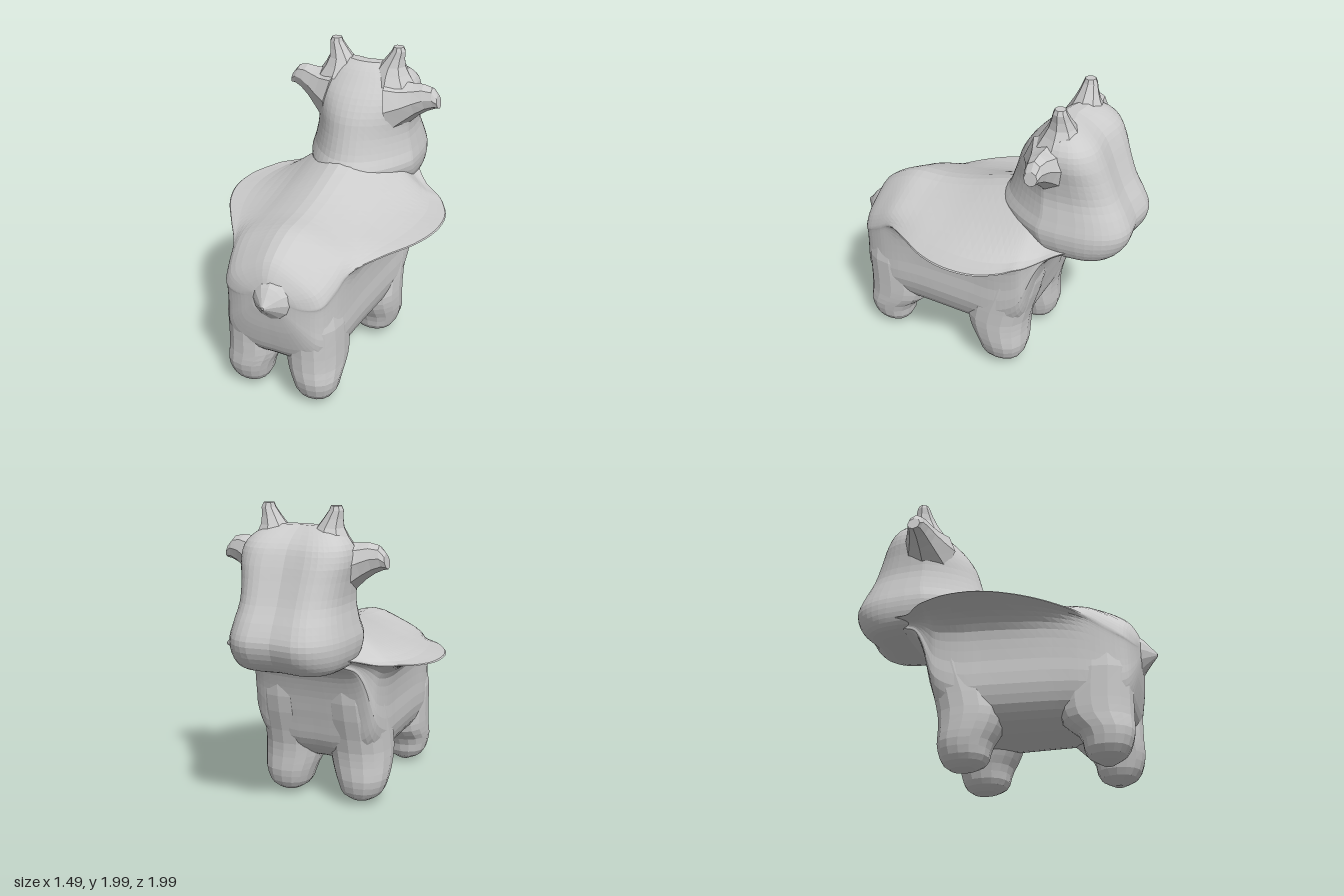
import * as THREE from 'three';

const material = new THREE.MeshStandardMaterial({ color: 0xcccccc, flatShading: true });
const V = (x, y, z) => new THREE.Vector3(x, y, z);

// Skin through closed rings of points, smoothed around and along, with closed ends.
function loft(name, rings, around, along) {
  const cols = [];
  const fine = rings.map((r) => {
    const c = new THREE.CatmullRomCurve3(r, true);
    return Array.from({ length: around }, (_, i) => c.getPoint(i / around));
  });
  for (let i = 0; i < around; i++) {
    cols.push(new THREE.CatmullRomCurve3(fine.map((r) => r[i])).getPoints(along));
  }
  const pts = [];
  for (let j = 0; j <= along; j++) for (let i = 0; i < around; i++) pts.push(cols[i][j]);
  const centre = (j) => cols.reduce((s, c) => s.add(c[j]), V(0, 0, 0)).divideScalar(around);
  const first = pts.push(centre(0)) - 1;
  const last = pts.push(centre(along)) - 1;
  const tris = [];
  for (let i = 0; i < around; i++) {
    const k = (i + 1) % around;
    for (let j = 0; j < along; j++) {
      const a = j * around + i, b = j * around + k;
      tris.push([a, b, b + around], [a, b + around, a + around]);
    }
    tris.push([first, k, i], [last, along * around + i, along * around + k]);
  }
  // Turn the faces outwards whichever way the rings run.
  const volume = tris.reduce((s, [a, b, c]) => s + pts[a].dot(V(0, 0, 0).crossVectors(pts[b], pts[c])), 0);
  if (volume < 0) tris.forEach((t) => t.reverse());
  const geometry = new THREE.BufferGeometry().setFromPoints(pts);
  geometry.setIndex(tris.flat());
  geometry.computeVertexNormals();
  const mesh = new THREE.Mesh(geometry, material);
  mesh.name = name;
  return mesh;
}

// Rounded ring in a horizontal plane; a higher power makes it squarer.
function flatRing(x, y, z, rx, rz, n = 12, power = 2.3) {
  return Array.from({ length: n }, (_, i) => {
    const t = (i / n) * Math.PI * 2, c = Math.cos(t), s = Math.sin(t);
    const e = 2 / power;
    return V(x + rx * Math.sign(c) * Math.abs(c) ** e, y, z + rz * Math.sign(s) * Math.abs(s) ** e);
  });
}

// Body section: rounded back, thin side flap reaching out to w, flank, rounded belly.
function bodyRing([z, top, h, w, flapY, belly]) {
  const y = (f) => belly + f * (flapY - belly);
  const half = [
    [0.5 * h, top - 0.28 * (top - flapY)],
    [0.9 * h, flapY + 0.36 * (top - flapY)],
    [h + 0.5 * (w - h), flapY + 0.02],
    [w, flapY],
    [h + 0.45 * (w - h), y(0.96)],
    [h + 0.1 * (w - h), y(0.86)],
    [h, y(0.62)],
    [h, y(0.3)],
    [0.84 * h, y(0.09)],
    [0.4 * h, belly],
  ];
  return [
    V(0, top, z),
    ...half.map(([x, v]) => V(x, v, z)),
    V(0, belly, z),
    ...half.reverse().map(([x, v]) => V(-x, v, z)),
  ];
}

// Head section: square towards the face with a slight dent, narrowing to a ridge behind the neck.
function headRing([y, back, face, hw]) {
  const mid = face + 0.57 * (back - face);
  return Array.from({ length: 24 }, (_, i) => {
    const t = (i / 24) * Math.PI * 2, c = Math.cos(t), s = Math.sin(t);
    const x = hw * Math.sign(c) * Math.abs(c) ** (s > 0 ? 1 : 0.7);
    const dent = 0.04 * Math.max(0, 1 - Math.abs(x) / 0.2);
    const z = s > 0 ? mid + (back - mid) * s ** 1.7 : mid + (face + dent - mid) * Math.abs(s) ** 0.6;
    return V(x, y, z);
  });
}

export function createModel() {
  const model = new THREE.Group();
  model.name = 'hornedAnimal';

  // Body with side flaps: z, top, half width, flap reach, flap height, belly
  model.add(loft('bodyWithSideFlaps', [
    [0.905, 0.89, 0.1, 0.1, 0.8, 0.7],
    [0.88, 0.95, 0.22, 0.23, 0.77, 0.52],
    [0.83, 1.02, 0.32, 0.33, 0.78, 0.36],
    [0.72, 1.09, 0.37, 0.375, 0.84, 0.29],
    [0.6, 1.13, 0.39, 0.41, 0.92, 0.27],
    [0.4, 1.14, 0.4, 0.55, 0.97, 0.27],
    [0.2, 1.175, 0.41, 0.68, 0.985, 0.27],
    [0, 1.235, 0.42, 0.745, 0.995, 0.27],
    [-0.2, 1.3, 0.43, 0.735, 1, 0.28],
    [-0.35, 1.35, 0.42, 0.66, 1.01, 0.4],
    [-0.41, 1.36, 0.4, 0.61, 1.02, 0.6],
    [-0.46, 1.34, 0.38, 0.56, 1.02, 0.8],
    [-0.52, 1.3, 0.35, 0.48, 1.03, 0.94],
    [-0.6, 1.24, 0.31, 0.4, 1.06, 0.99],
    [-0.7, 1.16, 0.27, 0.33, 1.09, 1.04],
  ].map(bodyRing), 64, 56));

  // Head and neck: height, back z, face z, half width
  model.add(loft('headAndNeck', [
    [1, -0.45, -0.84, 0.25],
    [1.03, -0.32, -0.92, 0.33],
    [1.1, -0.15, -0.985, 0.37],
    [1.2, -0.07, -1.015, 0.38],
    [1.29, -0.12, -0.985, 0.36],
    [1.42, -0.165, -0.915, 0.335],
    [1.55, -0.205, -0.86, 0.345],
    [1.66, -0.27, -0.815, 0.36],
    [1.75, -0.35, -0.765, 0.34],
    [1.82, -0.42, -0.68, 0.27],
    [1.862, -0.48, -0.59, 0.15],
  ].map(headRing), 48, 28));

  for (const side of [1, -1]) {
    const s = side > 0 ? 'left' : 'right';

    // Legs, flaring into the body: height, x, z, x radius, z radius
    const leg = (name, rows) => model.add(loft(name,
      rows.map(([y, x, z, rx, rz]) => flatRing(side * x, y, z, rx, rz)), 16, 14));
    leg(s + 'TailEndLeg', [
      [0.85, 0.18, 0.62, 0.12, 0.16],
      [0.65, 0.2, 0.64, 0.185, 0.22],
      [0.4, 0.21, 0.625, 0.185, 0.235],
      [0.28, 0.215, 0.64, 0.18, 0.22],
      [0.18, 0.235, 0.695, 0.155, 0.165],
      [0.06, 0.235, 0.69, 0.12, 0.125],
      [0, 0.22, 0.69, 0.03, 0.03],
    ]);
    leg(s + 'HeadEndLeg', [
      [0.9, 0.22, -0.27, 0.19, 0.2],
      [0.7, 0.23, -0.24, 0.2, 0.21],
      [0.4, 0.235, -0.15, 0.205, 0.22],
      [0.28, 0.245, -0.16, 0.195, 0.2],
      [0.17, 0.26, -0.19, 0.17, 0.17],
      [0.07, 0.26, -0.19, 0.13, 0.14],
      [0.03, 0.26, -0.2, 0.07, 0.08],
    ]);

    // Ear: broad at the root, blunt at the tip; x, y, y radius, z radius
    model.add(loft(s + 'Ear', [
      [0.22, 1.6, 0.2, 0.2],
      [0.33, 1.635, 0.13, 0.135],
      [0.41, 1.67, 0.1, 0.09],
      [0.49, 1.69, 0.078, 0.06],
      [0.535, 1.665, 0.045, 0.045],
    ].map(([x, y, ry, rz]) => flatRing(0, 0, 0, ry, rz, 6, 2)
      .map((p) => V(side * (x - p.x * 0.2), y + p.x, -0.49 + p.z))), 8, 5));

    // Horn: short, flared at the root, blunt; height, x, radius
    model.add(loft(s + 'Horn', [
      [1.74, 0.19, 0.16],
      [1.82, 0.185, 0.11],
      [1.88, 0.195, 0.075],
      [1.95, 0.225, 0.05],
      [1.985, 0.225, 0.035],
    ].map(([y, x, r]) => flatRing(side * x, y, -0.53, r, r, 6, 2)), 8, 5));
  }

  // Stub tail, flaring into the rump: z, y, radius
  model.add(loft('tail', [
    [0.82, 0.76, 0.2],
    [0.87, 0.775, 0.155],
    [0.92, 0.79, 0.105],
    [0.965, 0.79, 0.05],
    [1, 0.79, 0.01],
  ].map(([z, y, r]) => flatRing(0.025, 0, 0, r, r, 8, 2).map((p) => V(p.x, y + p.z, z))), 12, 8));

  return model;
}
